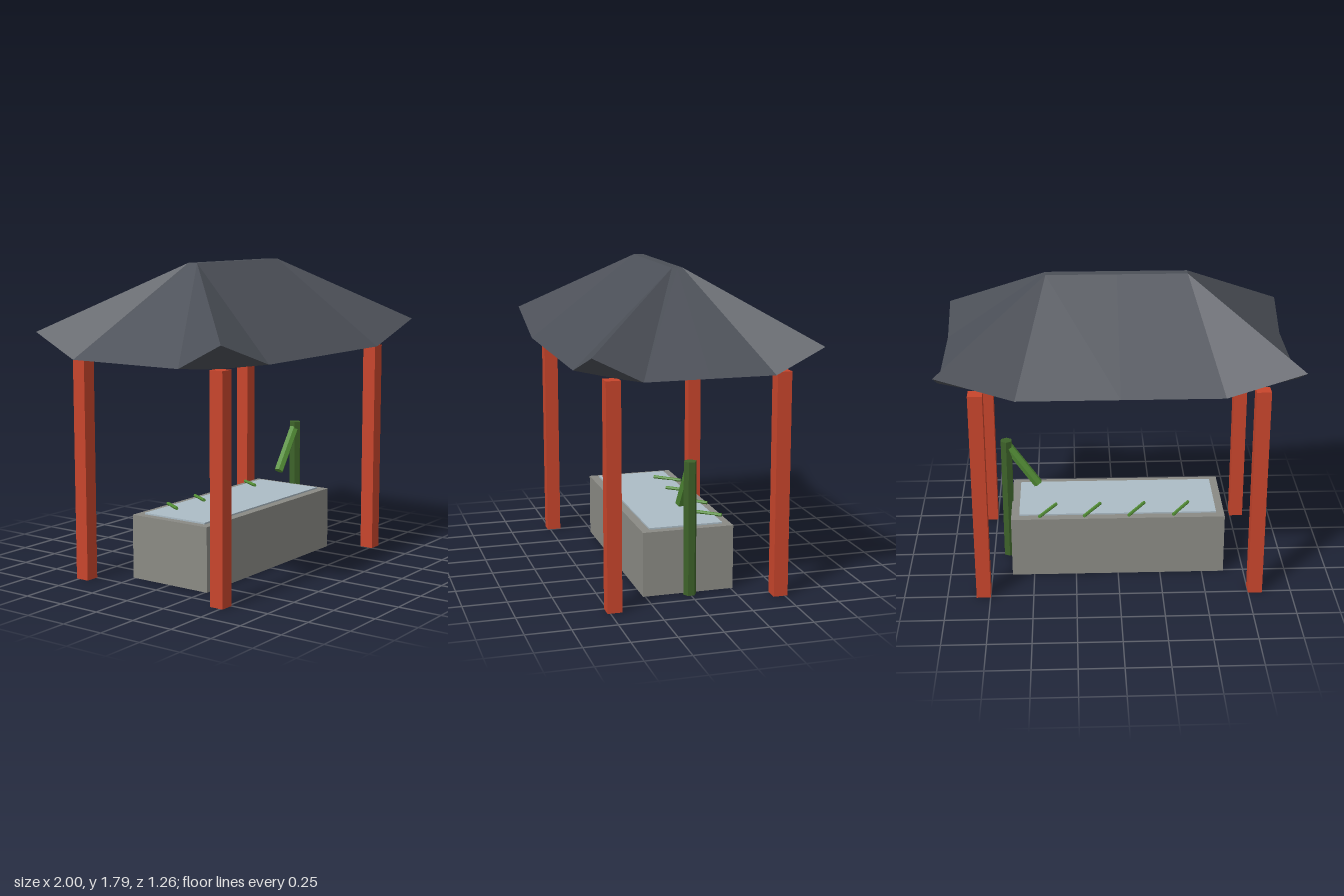
import * as THREE from 'three';

const mat = (name, color) => {
  const m = new THREE.MeshStandardMaterial({ color });
  m.name = name;
  return m;
};

export function createModel() {
  const group = new THREE.Group();
  const slate = mat('slate roof', 0x4c5058);
  const red = mat('red timber', 0xc8452c);
  const stone = mat('grey stone', 0x8a8a84);
  const water = mat('pale water', 0xacbcc6);
  const darkGreen = mat('dark bamboo', 0x3d6229);
  const green = mat('light bamboo', 0x548f37);

  const add = (name, geometry, material, x = 0, y = 0, z = 0) => {
    const mesh = new THREE.Mesh(geometry, material);
    mesh.name = name;
    mesh.position.set(x, y, z);
    group.add(mesh);
    return mesh;
  };

  // Six-sided bamboo rod between two points
  const rod = (name, a, b, radius, material) => {
    const from = new THREE.Vector3(...a), to = new THREE.Vector3(...b);
    const dir = to.clone().sub(from);
    const geo = new THREE.CylinderGeometry(radius, radius, dir.length(), 6).toNonIndexed();
    geo.computeVertexNormals();
    const mesh = add(name, geo, material);
    mesh.position.copy(from).add(to).multiplyScalar(0.5);
    mesh.quaternion.setFromUnitVectors(new THREE.Vector3(0, 1, 0), dir.normalize());
    return mesh;
  };

  add('roof', roofGeometry(), slate);

  // Corner posts
  for (const x of [-0.79, 0.79])
    for (const z of [-0.475, 0.475])
      add('post', new THREE.BoxGeometry(0.082, 1.268, 0.082), red, x, 0.634, z);

  // Water basin
  add('basin', new THREE.BoxGeometry(1.26, 0.37, 0.525), stone, 0, 0.185, 0);
  add('waterSurface', new THREE.BoxGeometry(1.165, 0.009, 0.425), water, 0, 0.3745, 0);

  // Bamboo water pipe and its slanted spout
  rod('pipe', [0.655, 0, 0], [0.655, 0.765, 0], 0.037, darkGreen);
  rod('spout', [0.655, 0.74, 0], [0.472, 0.477, 0], 0.029, green);

  // Row of ladles resting on the back rim
  for (let i = 0; i < 4; i++) {
    const x = -0.375 + i * 0.263;
    rod('ladle', [x - 0.05, 0.39, -0.105], [x + 0.05, 0.382, -0.25], 0.01, green);
  }
  return group;
}

// Hipped roof with upturned corners, one quarter mirrored to all four
function roofGeometry() {
  const ridge = [0.4, 1.795, 0.03], corner = [1, 1.422, 0.63];
  const front = [0.57, 1.285, 0.63], side = [1, 1.285, 0.36], under = [0.78, 1.266, 0.43];
  const midX = (p) => [0, p[1], p[2]], midZ = (p) => [p[0], p[1], 0];
  const positions = [];
  const tri = (sx, sz, a, b, c) => {
    const pts = sx * sz > 0 ? [a, b, c] : [a, c, b];
    for (const p of pts) positions.push(p[0] * sx, p[1], p[2] * sz);
  };
  for (const sx of [1, -1])
    for (const sz of [1, -1]) {
      const t = (a, b, c) => tri(sx, sz, a, b, c);
      const quad = (a, b, c, d) => { t(a, b, c); t(a, c, d); };
      // Ridge cap and slopes
      quad([0, ridge[1], 0], midX(ridge), ridge, midZ(ridge));
      quad(midX(front), front, ridge, midX(ridge));
      t(front, corner, ridge);
      t(corner, side, ridge);
      quad(side, midZ(side), midZ(ridge), ridge);
      // Underside
      quad([0, under[1], 0], midZ(under), under, midX(under));
      quad(midX(under), under, front, midX(front));
      t(under, corner, front);
      t(under, side, corner);
      quad(midZ(under), midZ(side), side, under);
    }
  const geo = new THREE.BufferGeometry();
  geo.setAttribute('position', new THREE.Float32BufferAttribute(positions, 3));
  geo.computeVertexNormals();
  return geo;
}
